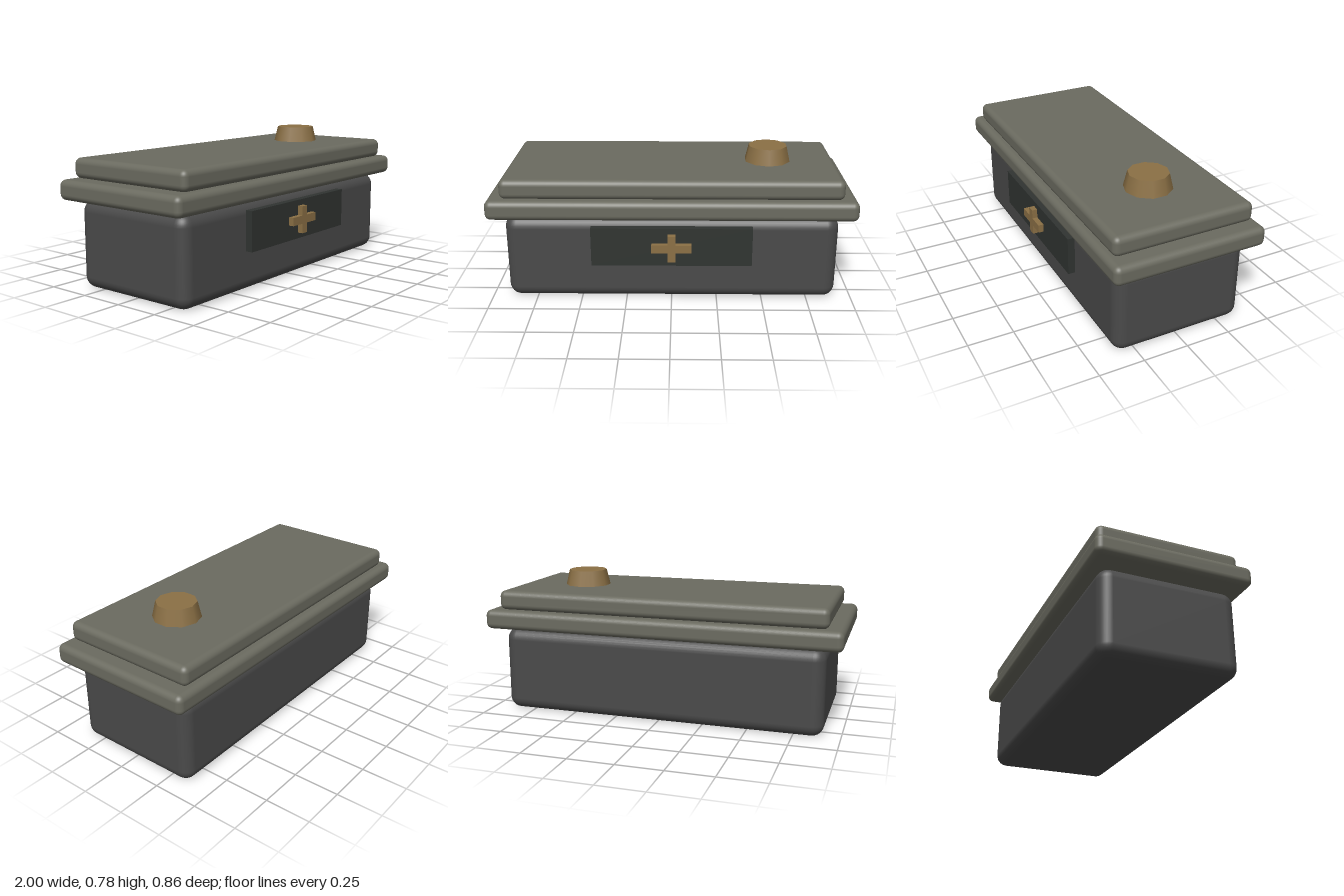
import * as THREE from 'three';
import { RoundedBoxGeometry } from 'three/addons/geometries/RoundedBoxGeometry.js';

const material = (color) => new THREE.MeshStandardMaterial({ color });

export function createModel() {
  const group = new THREE.Group();
  const base = material(0x4a4a4a);
  const stone = material(0x6b6b60);
  const dark = material(0x303431);
  const brass = material(0x8b7045);
  const zMid = -0.007;

  function add(name, geometry, mat, x, y, z) {
    const mesh = new THREE.Mesh(geometry, mat);
    mesh.name = name;
    mesh.position.set(x, y, z);
    group.add(mesh);
  }

  // Rounded chest body and the two stacked lid slabs
  add('body', new RoundedBoxGeometry(1.82, 0.476, 0.741, 4, 0.065), base, 0, 0.24, zMid);
  add('lowerLid', new RoundedBoxGeometry(2, 0.108, 0.848, 4, 0.033), stone, 0, 0.534, zMid);
  add('upperLid', new RoundedBoxGeometry(1.845, 0.108, 0.784, 4, 0.033), stone, 0, 0.643, zMid);

  // Tapered ten-sided knob on the lid
  add('knob', new THREE.CylinderGeometry(0.109, 0.13, 0.088, 10), brass, 0.54, 0.741, -0.008);

  // Front plate with a raised cross
  add('frontPlate', new THREE.BoxGeometry(0.874, 0.217, 0.04), dark, 0, 0.328, 0.383);
  add('crossUpright', new THREE.BoxGeometry(0.044, 0.152, 0.032), brass, 0, 0.328, 0.417);
  add('crossBar', new THREE.BoxGeometry(0.217, 0.046, 0.032), brass, 0, 0.329, 0.417);

  return group;
}
